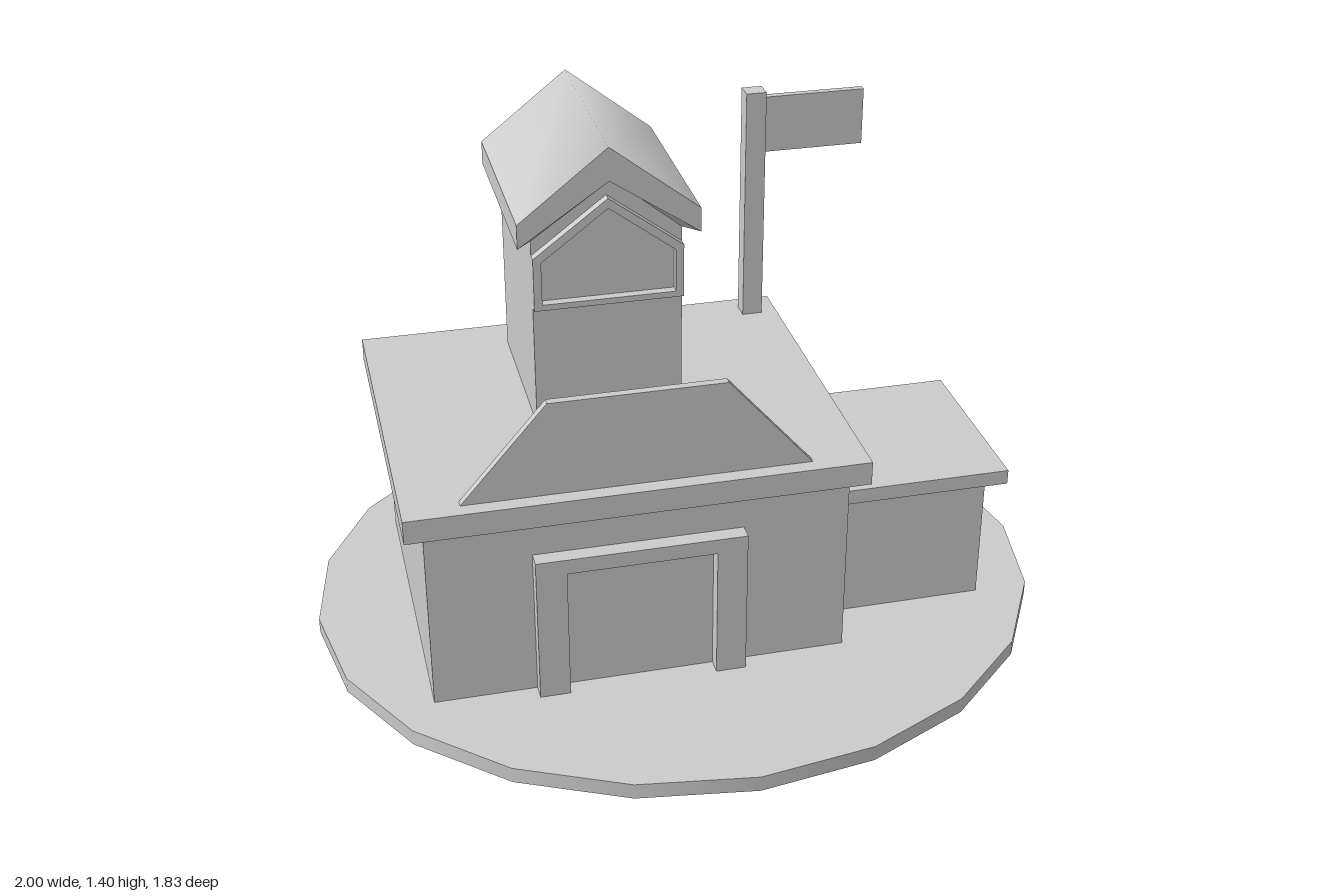
import * as THREE from 'three';
import { mergeVertices } from 'three/addons/utils/BufferGeometryUtils.js';

const material = new THREE.MeshStandardMaterial({ color: 0xcccccc });

function add(parent, name, geometry) {
  const mesh = new THREE.Mesh(geometry, material);
  mesh.name = name;
  parent.add(mesh);
  return mesh;
}

// Box given by its minimum and maximum on each axis
function box(parent, name, [x0, x1], [y0, y1], [z0, z1]) {
  const mesh = add(parent, name, new THREE.BoxGeometry(x1 - x0, y1 - y0, z1 - z0));
  mesh.position.set((x0 + x1) / 2, (y0 + y1) / 2, (z0 + z1) / 2);
  return mesh;
}

// Outline in the front plane, extruded from z0 to z1
function slab(parent, name, outline, z0, z1, hole) {
  const toVectors = (list) => list.map(([x, y]) => new THREE.Vector2(x, y));
  const shape = new THREE.Shape(toVectors(outline));
  if (hole) shape.holes.push(new THREE.Path(toVectors(hole)));
  const geometry = new THREE.ExtrudeGeometry(shape, { depth: z1 - z0, bevelEnabled: false });
  const mesh = add(parent, name, geometry);
  mesh.position.z = z0;
  return mesh;
}

// House-shaped outline, symmetric about x = 0
const gable = (w, bottom, eave, apex) => [[-w, bottom], [w, bottom], [w, eave], [0, apex], [-w, eave]];

function quadGeometry(quads) {
  const positions = quads.flatMap(([a, b, c, d]) => [a, b, c, a, c, d].flat());
  const geometry = new THREE.BufferGeometry();
  geometry.setAttribute('position', new THREE.Float32BufferAttribute(positions, 3));
  return geometry;
}

// Quads between two cross-sections
const loft = (a, b) => [0, 1].map((j) => [a[j], a[j + 1], b[j + 1], b[j]]);

function createTowerRoof() {
  const roof = new THREE.Group();
  roof.name = 'towerRoof';
  const section = (w, eave, apex, z) => [[-w, eave, z], [0, apex, z], [w, eave, z]];
  const front = 0.13, back = -0.44;
  const innerF = section(0.195, 1.155, 1.315, 0.088);
  const innerB = section(0.195, 1.155, 1.315, -0.395);
  const lowF = section(0.235, 1.155, 1.315, front);
  const lowB = section(0.235, 1.155, 1.315, back);
  const topF = section(0.235, 1.22, 1.405, front);
  const topB = section(0.235, 1.22, 1.405, back);

  // Gable ends, soffits and eaves
  const edges = quadGeometry([
    ...loft(innerF, lowF), ...loft(lowF, topF), ...loft(topB, lowB), ...loft(lowB, innerB),
    [lowF[2], lowB[2], topB[2], topF[2]],
    [lowB[0], lowF[0], topF[0], topB[0]],
    [innerF[2], innerB[2], lowB[2], lowF[2]],
    [lowF[0], lowB[0], innerB[0], innerF[0]],
  ]);
  edges.computeVertexNormals();
  add(roof, 'roofEdges', edges);

  // Two slopes, shaded smoothly over the ridge
  const slopes = mergeVertices(quadGeometry(loft(topF, topB)));
  slopes.computeVertexNormals();
  add(roof, 'roofSlopes', slopes);
  return roof;
}

export function createModel() {
  const model = new THREE.Group();
  model.name = 'building';

  // Oval ground plate with twenty sides
  const ground = new THREE.CylinderGeometry(1, 1, 0.043, 20);
  ground.scale(1, 1, 0.915);
  ground.translate(0, 0.0215, 0);
  add(model, 'groundPlate', ground);

  // Main hall
  const hall = new THREE.Group();
  hall.name = 'mainHall';
  model.add(hall);
  box(hall, 'hallWalls', [-0.74, 0.36], [0.04, 0.565], [-0.455, 0.437]);
  box(hall, 'hallRoof', [-0.79, 0.405], [0.562, 0.627], [-0.502, 0.478]);
  slab(hall, 'frontParapet', [[-0.645, 0.625], [0.26, 0.625], [0.035, 0.885], [-0.42, 0.885]], 0.415, 0.437);
  slab(hall, 'doorFrame', [
    [-0.47, 0.04], [-0.39, 0.04], [-0.39, 0.414], [0, 0.414],
    [0, 0.04], [0.08, 0.04], [0.08, 0.456], [-0.47, 0.456],
  ], 0.435, 0.48);

  // Side annex
  const annex = new THREE.Group();
  annex.name = 'sideAnnex';
  model.add(annex);
  box(annex, 'annexWalls', [0.35, 0.80], [0.04, 0.416], [-0.138, 0.29]);
  box(annex, 'annexRoof', [0.35, 0.845], [0.414, 0.455], [-0.186, 0.334]);

  // Tower with framed gable panel
  const tower = new THREE.Group();
  tower.name = 'tower';
  tower.position.x = -0.195;
  model.add(tower);
  slab(tower, 'towerWalls', gable(0.195, 0.62, 1.155, 1.315), -0.395, 0.088);
  slab(tower, 'gableFrame', gable(0.195, 0.97, 1.115, 1.262), 0.087, 0.113,
    gable(0.174, 0.986, 1.103, 1.235));
  tower.add(createTowerRoof());

  // Flagpole
  const flagpole = new THREE.Group();
  flagpole.name = 'flagpole';
  model.add(flagpole);
  box(flagpole, 'pole', [0.303, 0.36], [0.62, 1.305], [-0.455, -0.402]);
  box(flagpole, 'flag', [0.355, 0.647], [1.123, 1.285], [-0.44, -0.419]);

  return model;
}
